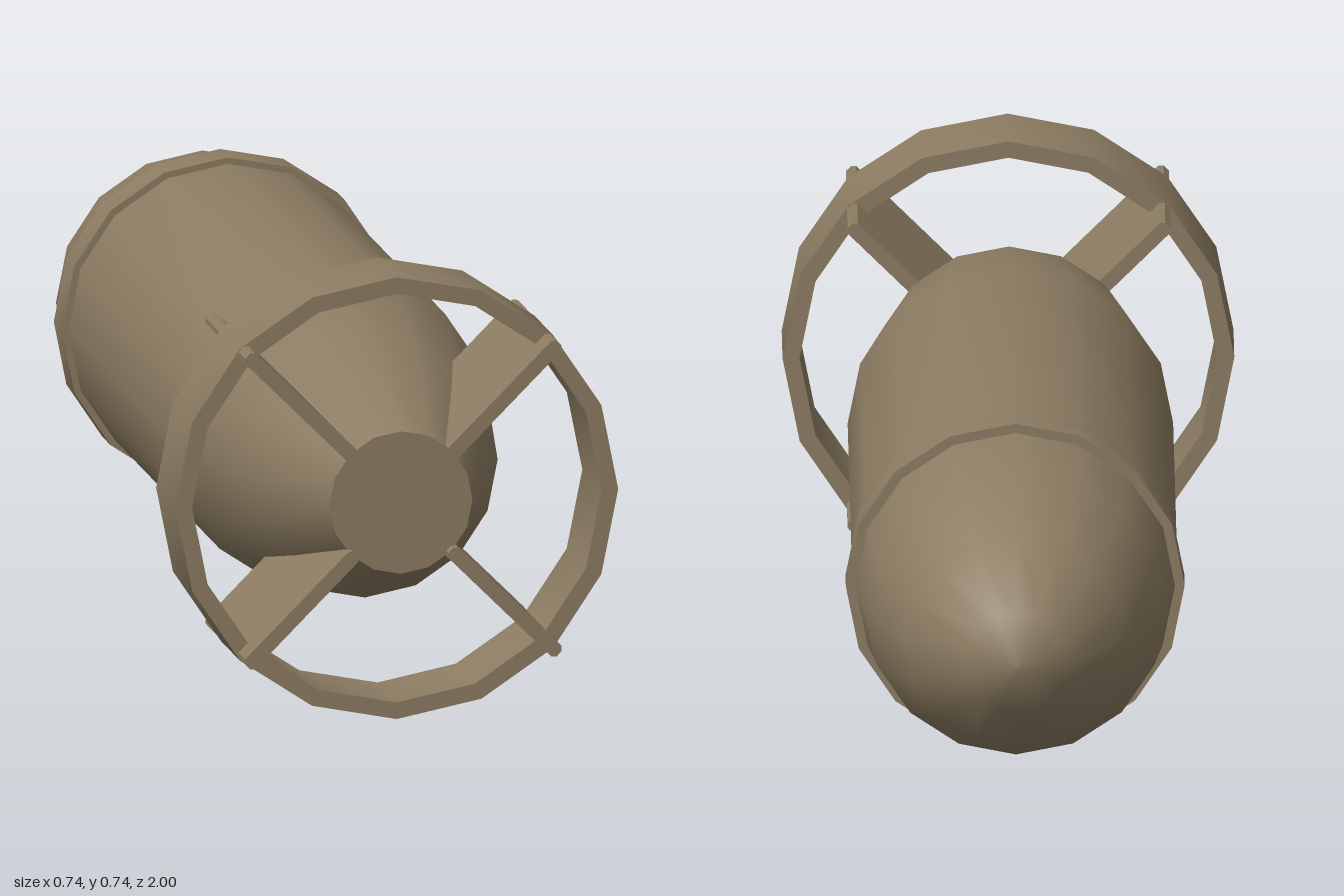
import * as THREE from 'three';
import { toCreasedNormals } from 'three/addons/utils/BufferGeometryUtils.js';

const AXIS_Y = 0.373;
const SIDES = 16;

export function createModel() {
  const model = new THREE.Group();
  model.name = 'finnedBomb';
  const paint = new THREE.MeshStandardMaterial({ color: 0x8c7c62 });
  paint.name = 'drab tan';

  const add = (name, geometry) => {
    const mesh = new THREE.Mesh(geometry, paint);
    mesh.name = name;
    mesh.position.y = AXIS_Y;
    model.add(mesh);
    return mesh;
  };

  // Turn a [radius, z] profile around the long axis
  const turned = (profile) => {
    const points = profile.map(([r, z]) => new THREE.Vector2(r, z));
    const geometry = new THREE.LatheGeometry(points, SIDES).rotateX(Math.PI / 2);
    return toCreasedNormals(geometry, 0.65);
  };

  // Nose, straight casing and tapered tail
  add('body', turned([
    [0, -1], [0.085, -0.967], [0.183, -0.85], [0.246, -0.67], [0.266, -0.5],
    [0.268, -0.46], [0.268, 0.41], [0.223, 0.68], [0.188, 0.79], [0.12, 0.98], [0, 0.98],
  ]));

  // Raised band behind the nose
  add('collar', turned([
    [0.255, -0.525], [0.279, -0.525], [0.279, -0.458], [0.255, -0.458],
  ]));

  // Open ring around the fins
  add('tailRing', turned([
    [0.344, 0.785], [0.372, 0.785], [0.372, 0.945], [0.344, 0.945], [0.344, 0.785],
  ]));

  // Four diagonal fins with chamfered long edges
  const inner = 0.113, outer = 0.37, half = 0.012, c = 0.006;
  const section = new THREE.Shape([
    [inner + c, -half], [outer - c, -half], [outer, -half + c], [outer, half - c],
    [outer - c, half], [inner + c, half], [inner, half - c], [inner, -half + c],
  ].map(([x, y]) => new THREE.Vector2(x, y)));
  const finGeometry = new THREE.ExtrudeGeometry(section, { depth: 0.33, bevelEnabled: false });
  finGeometry.translate(0, 0, 0.67);
  for (let i = 0; i < 4; i++) {
    add('tailFin' + (i + 1), finGeometry).rotation.z = Math.PI / 4 + i * Math.PI / 2;
  }

  return model;
}
